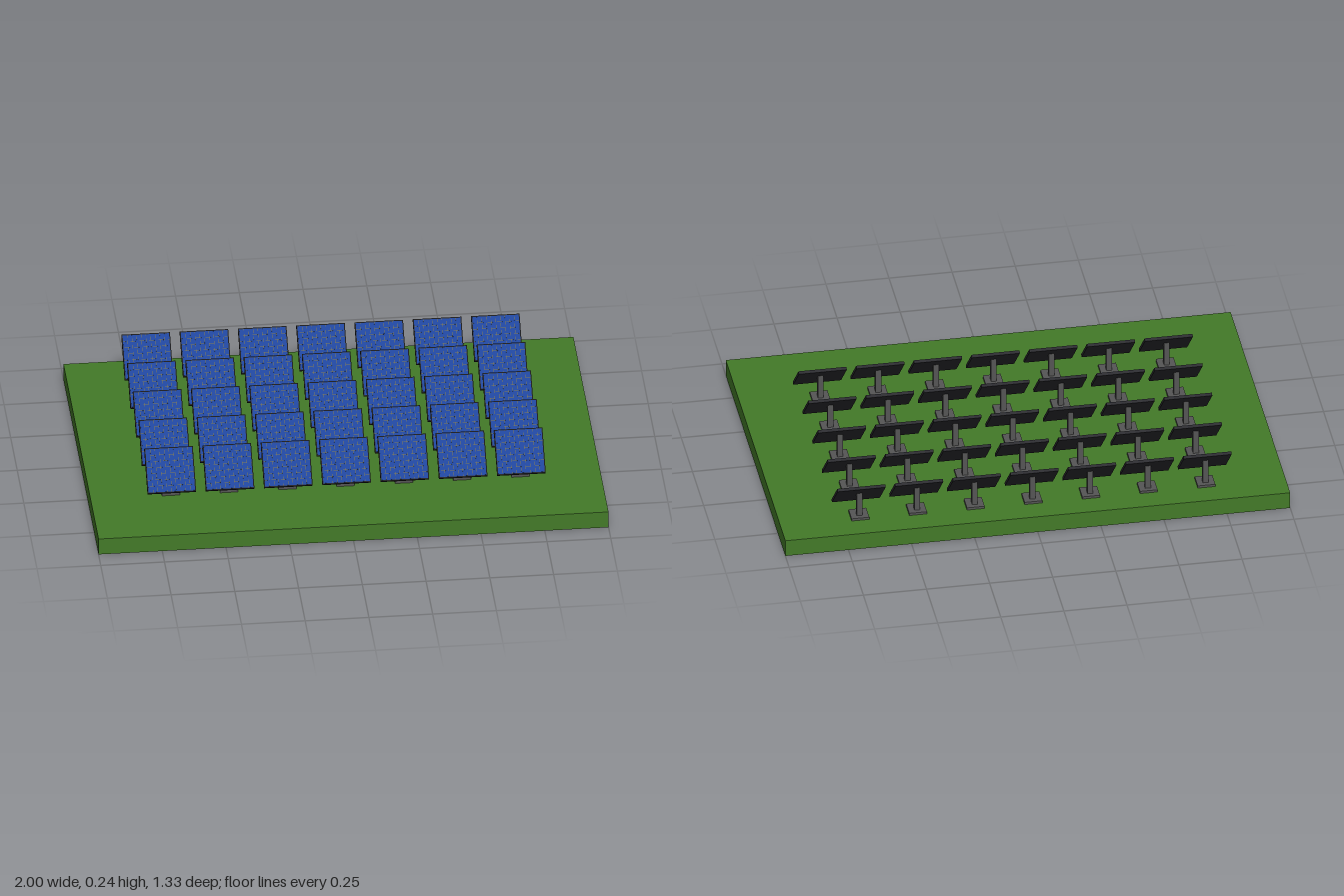
import * as THREE from 'three';

const mat = (color) => new THREE.MeshStandardMaterial({ color });
const W = 0.19, L = 0.182, T = 0.012; // panel width, length, thickness
const COLS = 10, ROWS = 7;            // cells per panel

export function createModel() {
  const model = new THREE.Group();
  const grass = mat(0x437a28), metal = mat(0x555555), frameMat = mat(0x2c2c30);
  const cellMat = mat(0x1f459c), lineMat = mat(0x77704c);

  const add = (parent, name, geometry, material, x = 0, y = 0, z = 0) => {
    const mesh = new THREE.Mesh(geometry, material);
    mesh.name = name;
    mesh.position.set(x, y, z);
    parent.add(mesh);
    return mesh;
  };

  add(model, 'ground', new THREE.BoxGeometry(2, 0.07, 1.333), grass, 0, 0.035, 0);

  // Shared geometries
  const baseGeo = new THREE.BoxGeometry(0.07, 0.01, 0.07);
  const frameGeo = new THREE.BoxGeometry(W, T, L);
  const cellGeo = new THREE.BoxGeometry(W - 0.008, 0.002, L - 0.008);
  const columnLineGeo = new THREE.BoxGeometry(0.001, 0.001, L - 0.008);
  const rowLineGeo = new THREE.BoxGeometry(W - 0.008, 0.001, 0.001);

  // Square post with its top cut at 45 degrees to meet the panel
  const d = 0.011;
  const postGeo = new THREE.BoxGeometry(2 * d, 0.1, 2 * d).translate(0, 0.05, 0);
  const p = postGeo.attributes.position;
  for (let i = 0; i < p.count; i++) {
    if (p.getY(i) > 0.05) p.setY(i, 0.1 - p.getZ(i));
  }
  postGeo.computeVertexNormals();

  function createUnit() {
    const unit = new THREE.Group();
    unit.name = 'solarUnit';
    add(unit, 'base', baseGeo, metal, 0, 0.075, -0.007);
    add(unit, 'post', postGeo, metal, 0, 0.08, -0.012);

    // Tilted panel: frame, cell plate and thin grid lines
    const panel = new THREE.Group();
    panel.name = 'panel';
    panel.position.set(0, 0.168, 0);
    panel.rotation.x = Math.PI / 4;
    add(panel, 'frame', frameGeo, frameMat);
    add(panel, 'cells', cellGeo, cellMat, 0, T / 2, 0);
    const top = T / 2 + 0.001;
    for (let i = 1; i < COLS; i++) {
      add(panel, 'columnLine', columnLineGeo, lineMat, (i / COLS - 0.5) * (W - 0.008), top, 0);
    }
    for (let i = 1; i < ROWS; i++) {
      add(panel, 'rowLine', rowLineGeo, lineMat, 0, top, (i / ROWS - 0.5) * (L - 0.008));
    }
    unit.add(panel);
    return unit;
  }

  // Five rows of seven units
  for (let r = 0; r < 5; r++) {
    for (let c = 0; c < 7; c++) {
      const unit = createUnit();
      unit.position.set((c - 3) * 0.2285, 0, 0.339 - r * 0.2168);
      model.add(unit);
    }
  }
  return model;
}
